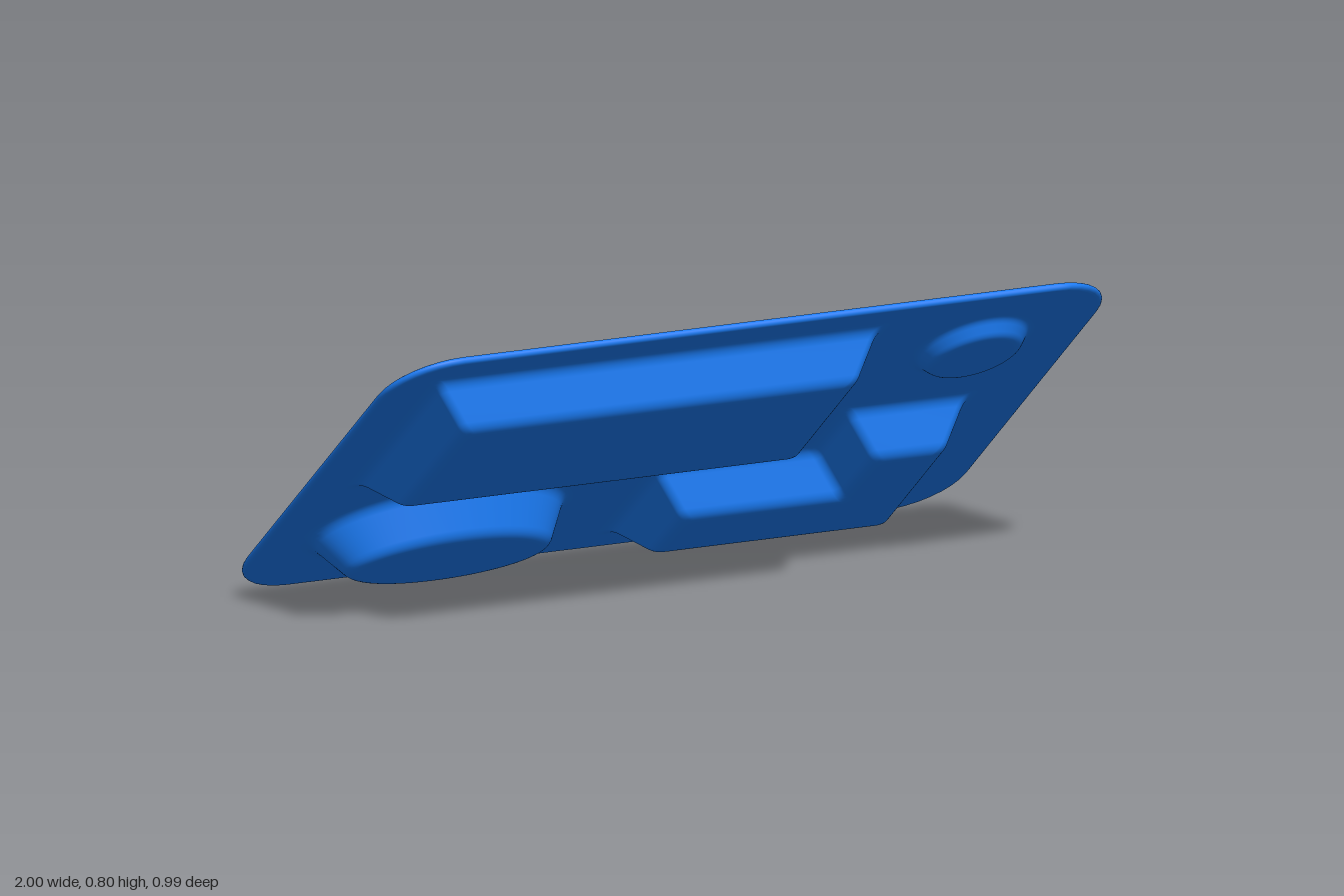
import * as THREE from 'three';

const V = (x, y) => new THREE.Vector2(x, y);
const material = new THREE.MeshStandardMaterial({ color: 0x1a7af2, roughness: 0.6 });
const TOP = 0.01, UNDER = -0.01, SHEET = 0.02;

// Right-angled outline with rounded corners; returns a function of the inset
function polygonOutline(corners, radius) {
  const pts = corners.map(([x, y]) => V(x, y)), n = pts.length;
  return (inset) => {
    const moved = pts.map((p, i) => {
      const a = p.clone().sub(pts[(i + n - 1) % n]).normalize();
      const b = pts[(i + 1) % n].clone().sub(p).normalize();
      return V(p.x - inset * (a.y + b.y), p.y + inset * (a.x + b.x));
    });
    return moved.flatMap((p, i) => {
      const a = moved[(i + n - 1) % n].clone().sub(p).normalize();
      const b = moved[(i + 1) % n].clone().sub(p).normalize();
      const at = (d, k) => p.clone().addScaledVector(d, radius * k);
      return new THREE.CubicBezierCurve(at(a, 1), at(a, 0.448), at(b, 0.448), at(b, 1)).getPoints(8);
    });
  };
}

// Elliptical outline, also a function of the inset
function ellipseOutline(x, y, rx, ry) {
  return (inset) => Array.from({ length: 64 }, (_, i) => {
    const t = (i / 64) * Math.PI * 2;
    return V(x + (rx - inset) * Math.cos(t), y + (ry - inset) * Math.sin(t));
  });
}

function flipFaces(geometry) {
  const idx = geometry.index;
  for (let i = 0; i < idx.count; i += 3) {
    const b = idx.getX(i + 1);
    idx.setX(i + 1, idx.getX(i + 2));
    idx.setX(i + 2, b);
  }
  geometry.computeVertexNormals();
  return geometry;
}

// Smooth band: the outline swept along a profile of (inset, height) points
function band(outline, profile, flip) {
  const rings = profile.map((p) => outline(p.x).map((q) => [q.x, p.y, q.y]));
  const n = rings[0].length, index = [];
  for (let i = 0; i < rings.length - 1; i++) {
    for (let j = 0; j < n; j++) {
      const a = i * n + j, b = i * n + (j + 1) % n;
      index.push(a, b, a + n, b, b + n, a + n);
    }
  }
  const g = new THREE.BufferGeometry();
  g.setAttribute('position', new THREE.Float32BufferAttribute(rings.flat(2), 3));
  g.setIndex(index);
  g.computeVertexNormals();
  return flip ? flipFaces(g) : g;
}

// Flat sheet at a height, with optional holes
function sheet(points, height, up, holes = []) {
  const shape = new THREE.Shape(points);
  holes.forEach((h) => shape.holes.push(new THREE.Path(h)));
  const g = new THREE.ShapeGeometry(shape).rotateX(Math.PI / 2).translate(0, height, 0);
  return up ? flipFaces(g) : g;
}

// Filleted step from one level down to another
function stepProfile(x0, y0, x1, y1, r) {
  const b = V(x0, y0), c = V(x1, y1), d = c.clone().sub(b).normalize();
  const upper = new THREE.QuadraticBezierCurve(V(x0 - r, y0), b, b.clone().addScaledVector(d, r));
  const lower = new THREE.QuadraticBezierCurve(c.clone().addScaledVector(d, -r), c, V(x1 + r, y1));
  return [...upper.getPoints(6), ...lower.getPoints(6)];
}

export function createModel() {
  const root = new THREE.Group();
  const tray = new THREE.Group();
  tray.name = 'tray';
  root.add(tray);
  const add = (parent, name, geometry) => {
    const mesh = new THREE.Mesh(geometry, material);
    mesh.name = name;
    parent.add(mesh);
  };

  // Pockets: outline at the opening, wall lean, underside level, fillet
  const pockets = [
    { name: 'mainPocket', lean: 0.07, bottom: -0.123, fillet: 0.025,
      outline: polygonOutline([[-0.865, -0.045], [0.365, -0.045], [0.365, 0.525], [-0.865, 0.525]], 0.02) },
    { name: 'cornerPocket', lean: 0.07, bottom: -0.123, fillet: 0.025,
      outline: polygonOutline([[0.025, -0.53], [0.805, -0.53], [0.805, 0.035],
        [0.47, 0.035], [0.47, -0.185], [0.025, -0.185]], 0.02) },
    { name: 'ovalPocket', lean: 0.07, bottom: -0.123, fillet: 0.025,
      outline: ellipseOutline(-0.525, -0.335, 0.345, 0.195) },
    { name: 'cupPocket', lean: 0.033, bottom: -0.048, fillet: 0.015,
      outline: ellipseOutline(0.69, 0.35, 0.148, 0.148) },
  ];

  const topHoles = [], underHoles = [];
  for (const { name, outline, lean, bottom, fillet } of pockets) {
    const group = new THREE.Group();
    group.name = name;
    tray.add(group);
    const inner = stepProfile(0.01, TOP, lean + 0.01, bottom + SHEET, fillet);
    const outer = stepProfile(0, UNDER, lean, bottom, fillet);
    const innerEnd = inner[inner.length - 1], outerEnd = outer[outer.length - 1];
    add(group, 'innerWall', band(outline, inner, true));
    add(group, 'floor', sheet(outline(innerEnd.x), innerEnd.y, true));
    add(group, 'outerWall', band(outline, outer, false));
    add(group, 'underside', sheet(outline(outerEnd.x), outerEnd.y, false));
    topHoles.push(outline(inner[0].x));
    underHoles.push(outline(outer[0].x));
  }

  // Plate with a rounded rim
  const plate = polygonOutline([[-1, -0.63], [1, -0.63], [1, 0.63], [-1, 0.63]], 0.17);
  const rim = Array.from({ length: 9 }, (_, i) => {
    const t = (i / 8) * Math.PI;
    return V(0.01 - 0.01 * Math.sin(t), 0.01 * Math.cos(t));
  });
  add(tray, 'plateTop', sheet(plate(0.01), TOP, true, topHoles));
  add(tray, 'plateUnderside', sheet(plate(0.01), UNDER, false, underHoles));
  add(tray, 'rim', band(plate, rim, false));

  // Lean the whole tray, front edge raised
  tray.rotation.x = -THREE.MathUtils.degToRad(38.8);
  tray.position.y = 0.4;
  return root;
}
